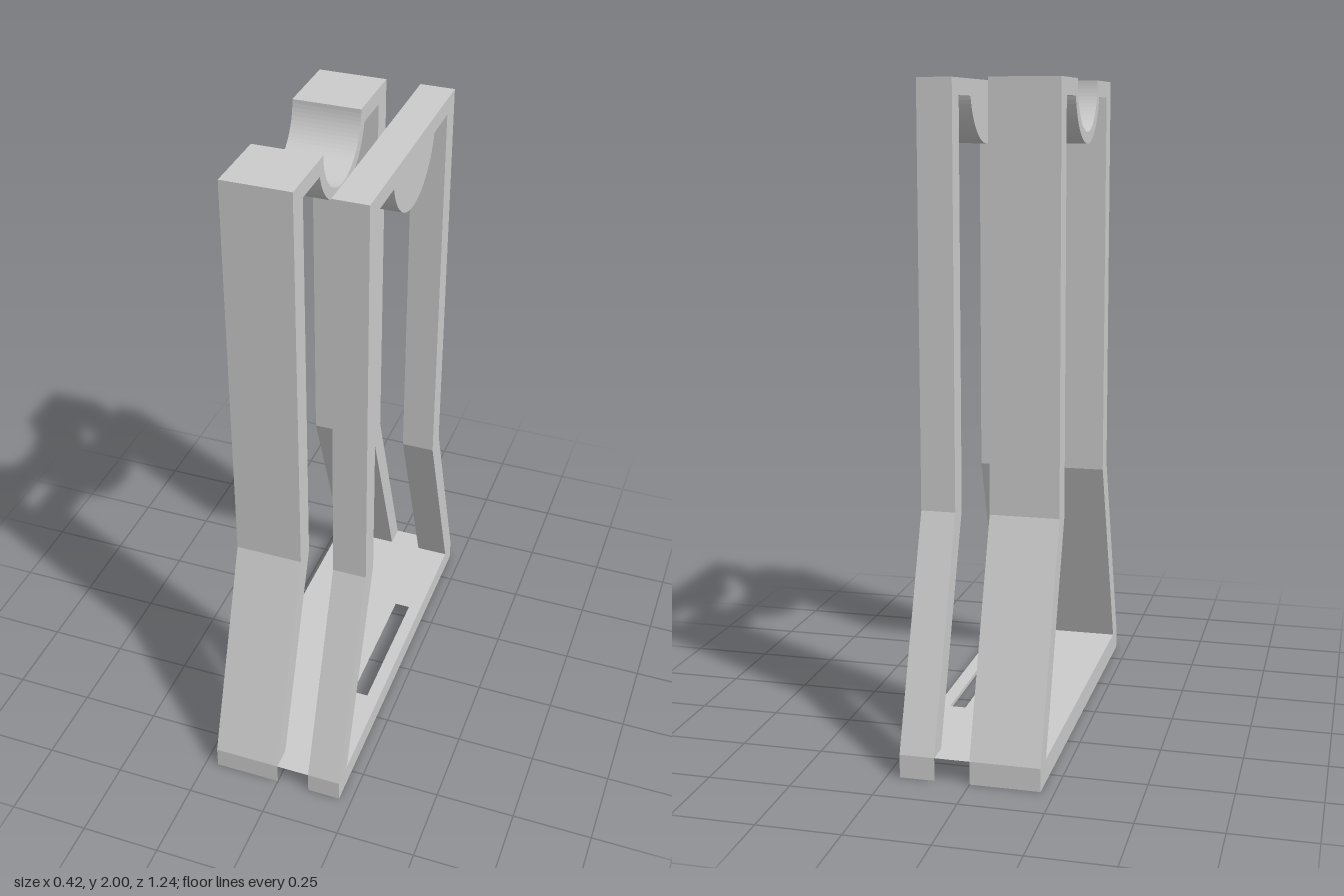
import * as THREE from 'three';

const material = new THREE.MeshStandardMaterial({ color: 0xcccccc, side: THREE.DoubleSide, flatShading: true });
const FLOOR = 0.07, HALF_X = 0.21, HALF_Z = 0.62, GAP = [0, 0.105];

function add(group, name, geometry) {
  const mesh = new THREE.Mesh(geometry, material);
  mesh.name = name;
  group.add(mesh);
  return mesh;
}

// Upright frame: splayed legs, top bar and a round cradle, drawn in (z, y)
function frameGeometry(x0, x1, openCradle) {
  const s = new THREE.Shape();
  s.moveTo(HALF_Z, FLOOR);
  s.lineTo(0.38, 0.74);
  s.lineTo(0.38, 2);
  if (openCradle) {
    s.lineTo(0.155, 2);
    s.absarc(0, 2, 0.155, 0, -Math.PI, true);
  }
  s.lineTo(-0.38, 2);
  s.lineTo(-0.38, 0.74);
  s.lineTo(-HALF_Z, FLOOR);
  s.lineTo(-0.55, FLOOR);
  s.lineTo(-0.31, 0.73);
  s.lineTo(-0.31, 1.95);
  const a = Math.asin(0.05 / 0.19);
  s.absarc(0, 2, 0.19, Math.PI + a, 2 * Math.PI - a, false);
  s.lineTo(0.31, 1.95);
  s.lineTo(0.31, 0.73);
  s.lineTo(0.55, FLOOR);
  s.closePath();
  const g = new THREE.ExtrudeGeometry(s, { depth: x1 - x0, bevelEnabled: false, curveSegments: 20 });
  return g.rotateY(-Math.PI / 2).translate(x1, 0, 0);
}

// Thin floor sheet with a slot under the narrow frame
function floorGeometry() {
  const s = new THREE.Shape();
  s.moveTo(-HALF_X, -HALF_Z);
  s.lineTo(HALF_X, -HALF_Z);
  s.lineTo(HALF_X, HALF_Z);
  s.lineTo(-HALF_X, HALF_Z);
  s.closePath();
  const slot = new THREE.Path();
  slot.moveTo(0.12, -0.23);
  slot.lineTo(0.12, 0.23);
  slot.lineTo(0.17, 0.23);
  slot.lineTo(0.17, -0.23);
  slot.closePath();
  s.holes.push(slot);
  return new THREE.ShapeGeometry(s).rotateX(-Math.PI / 2).translate(0, FLOOR, 0);
}

export function createModel() {
  const model = new THREE.Group();
  model.name = 'cradleStand';

  add(model, 'wideFrame', frameGeometry(-HALF_X, GAP[0], true));
  add(model, 'narrowFrame', frameGeometry(GAP[1], HALF_X, false));
  add(model, 'floor', floorGeometry());

  // Skirts around the base, open across the gap between the frames
  for (const side of [1, -1]) {
    const long = new THREE.PlaneGeometry(2 * HALF_Z, FLOOR).rotateY(side * Math.PI / 2);
    add(model, 'sideSkirt', long.translate(side * HALF_X, FLOOR / 2, 0));
    for (const [x0, x1] of [[-HALF_X, GAP[0]], [GAP[1], HALF_X]]) {
      const end = new THREE.PlaneGeometry(x1 - x0, FLOOR);
      if (side < 0) end.rotateY(Math.PI);
      add(model, 'endSkirt', end.translate((x0 + x1) / 2, FLOOR / 2, side * HALF_Z));
    }
  }
  return model;
}
